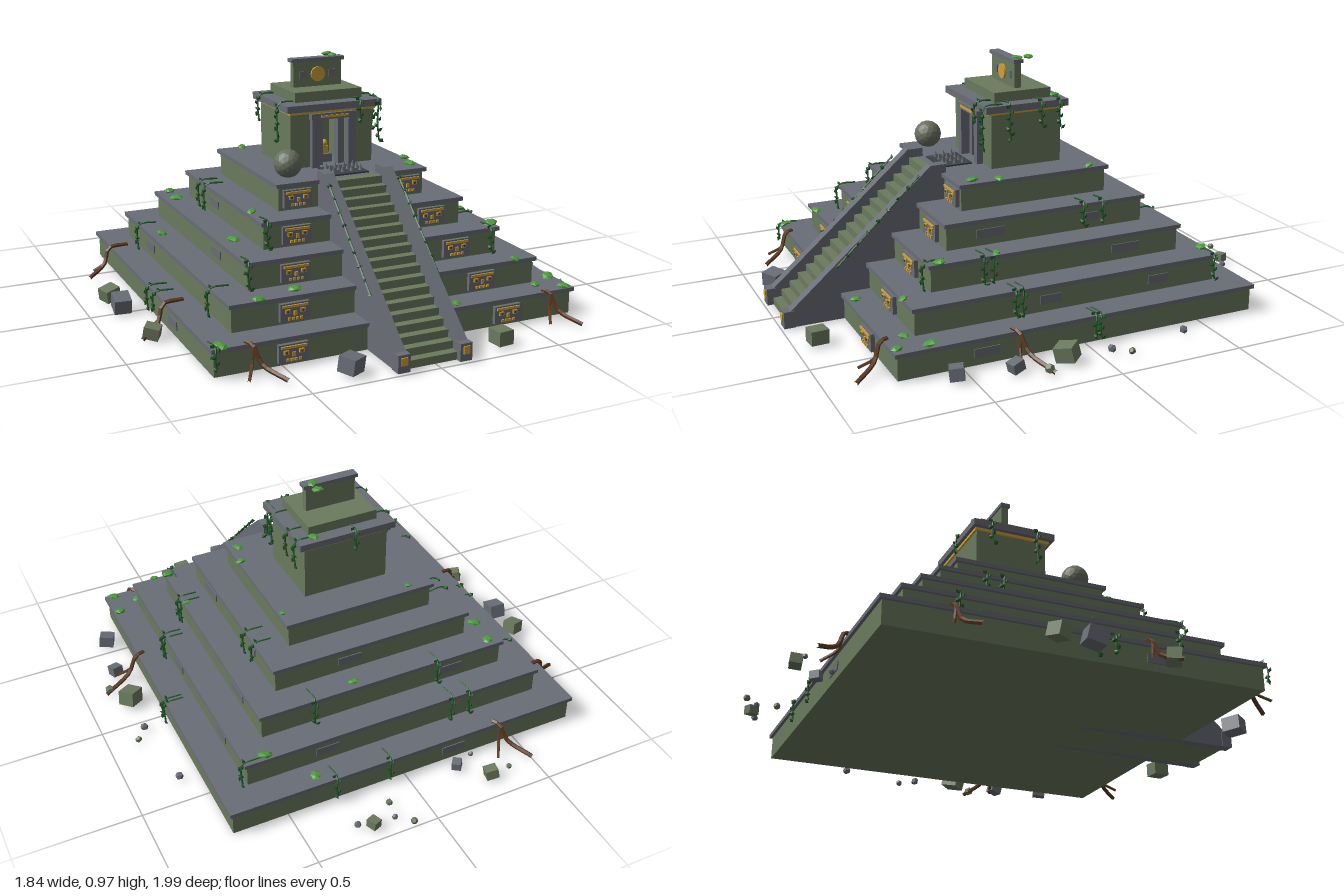
import * as THREE from 'three';

const mat = (name, color, extra = {}) => Object.assign(new THREE.MeshStandardMaterial({ color, ...extra }), { name });
const M = {
  moss: mat('mossy stone', 0x6b7a5e),
  grey: mat('grey stone', 0x696d76),
  dark: mat('dark stone', 0x3e4248),
  gold: mat('gold', 0xd0a034),
  boulder: mat('boulder stone', 0x69705f, { flatShading: true }),
  vine: mat('vine', 0x1f5a26, { flatShading: true, side: THREE.DoubleSide }),
  leaf: mat('bright leaf', 0x4c9a3a, { flatShading: true }),
  root: mat('root bark', 0x5f3b20, { flatShading: true }),
};
const CX = -0.0175, CZ = 0.005, STEP = 0.108;
const HALF = [0.755, 0.648, 0.54, 0.433, 0.325];

export function createModel() {
  const root = new THREE.Group();
  root.name = 'steppedTemple';
  const add = (name, geo, m, x = 0, y = 0, z = 0, parent = root) => {
    const mesh = new THREE.Mesh(geo, m);
    mesh.name = name;
    mesh.position.set(x, y, z);
    parent.add(mesh);
    return mesh;
  };
  // box given by its min and max corners
  const box = (name, m, x0, x1, y0, y1, z0, z1, parent = root) =>
    add(name, new THREE.BoxGeometry(x1 - x0, y1 - y0, z1 - z0), m, (x0 + x1) / 2, (y0 + y1) / 2, (z0 + z1) / 2, parent);
  // side profile (z, y) extruded from x0 to x1
  const profile = (name, m, pts, x0, x1) => {
    const geo = new THREE.ExtrudeGeometry(new THREE.Shape(pts.map(p => new THREE.Vector2(...p))), { depth: x1 - x0, bevelEnabled: false });
    return add(name, geo.rotateY(-Math.PI / 2), m, x1, 0, 0);
  };

  // five terraces, each with a projecting grey ledge
  HALF.forEach((h, i) => {
    const y = i * STEP, b = h - 0.012;
    box('terraceWall', M.moss, CX - b, CX + b, y, y + STEP - 0.016, CZ - b, CZ + b);
    box('terraceLedge', M.grey, CX - h, CX + h, y + STEP - 0.016, y + STEP, CZ - h, CZ + h);
  });

  // carved face panels either side of the stair
  HALF.forEach((h, i) => [-1, 1].forEach(s => {
    const panel = new THREE.Group();
    panel.name = 'facePanel';
    panel.position.set(CX + s * (0.448 - i * 0.0525), i * STEP + 0.046, CZ + h);
    root.add(panel);
    box('panelSlab', M.grey, -0.058, 0.058, -0.034, 0.036, -0.02, 0.004, panel);
    const plate = (x, y, w, t) => box('panelGold', M.gold, x - w / 2, x + w / 2, y - t / 2, y + t / 2, 0.003, 0.010, panel);
    plate(0, 0.026, 0.1, 0.009);
    [-1, 1].forEach(e => {
      plate(e * 0.03, 0.007, 0.019, 0.015);
      box('panelPupil', M.dark, e * 0.03 - 0.004, e * 0.03 + 0.004, 0.003, 0.011, 0.01, 0.012, panel);
    });
    plate(0, -0.002, 0.012, 0.016);
    for (let t = -1.5; t < 2; t++) plate(t * 0.016, -0.022, 0.01, 0.01);
  }));

  // grey blocks set into the side and back walls: side, tier, offset, width
  [[1, 3, 0.24, 0.12], [1, 1, -0.38, 0.09], [1, 2, -0.29, 0.12], [1, 1, 0.09, 0.09], [1, 0, 0.4, 0.1], [1, 3, -0.2, 0.06],
    [3, 0, 0.3, 0.1], [3, 1, -0.3, 0.1], [3, 2, 0.2, 0.1], [3, 3, -0.1, 0.1],
    [2, 0, -0.2, 0.1], [2, 1, 0.3, 0.1], [2, 2, -0.3, 0.1], [2, 3, 0.1, 0.1]].forEach(([side, i, o, w]) => {
    const g = new THREE.Group();
    g.name = 'wallBlock';
    g.position.set(CX, 0, CZ);
    g.rotation.y = side * Math.PI / 2;
    root.add(g);
    const c = o * [1, -1, -1, 1][side], y = i * STEP + 0.048, d = HALF[i] - 0.012;
    box('blockFace', M.grey, c - w / 2, c + w / 2, y - 0.017, y + 0.017, d - 0.002, d + 0.004, g);
  });

  // stair and its sloping side walls
  const N = 18, z0 = 0.965, run = 0.63 / N, steps = [[z0, 0]];
  for (let i = 0; i < N; i++) steps.push([z0 - i * run, (i + 1) * 0.03], [z0 - (i + 1) * run, (i + 1) * 0.03]);
  steps.push([0.30, 0.54], [0.30, 0]);
  profile('stair', M.moss, steps, -0.124, 0.089);
  for (const x of [-0.165, 0.087]) {
    profile('stairSideWall', M.grey, [[0.97, 0], [0.97, 0.06], [0.375, 0.575], [0.31, 0.575], [0.31, 0]], x, x + 0.041);
    box('stairPost', M.grey, x - 0.004, x + 0.045, 0, 0.068, 0.945, 0.99);
    box('postGold', M.gold, x + 0.008, x + 0.033, 0.028, 0.058, 0.988, 0.995);
  }

  // spike plate before the door
  box('spikePlate', M.dark, -0.098, 0.062, 0.535, 0.546, 0.17, 0.305);
  for (let i = 0; i < 4; i++) for (let j = 0; j < 3; j++)
    add('spike', new THREE.ConeGeometry(0.009, 0.028, 6), M.grey, -0.076 + i * 0.039, 0.559, 0.203 + j * 0.035);

  // shrine walls around an open chamber
  const yb = 0.54, yt = 0.765, L = CX - 0.18, R = CX + 0.18;
  box('shrineBackWall', M.moss, L, R, yb, yt, -0.175, -0.03);
  box('shrineLeftWall', M.moss, CX + 0.064, R, yb, yt, -0.03, 0.13);
  box('shrineRightWall', M.moss, L, CX - 0.064, yb, yt, -0.03, 0.13);
  box('shrineDoorHead', M.moss, CX - 0.064, CX + 0.064, 0.735, yt, -0.03, 0.13);
  for (const s of [-1, 1]) {
    const px = CX + s * 0.08, ix = CX + s * 0.047;
    box('doorPillar', M.grey, px - 0.016, px + 0.016, yb, 0.737, 0.12, 0.155);
    box('innerPillar', M.grey, ix - 0.013, ix + 0.013, yb, 0.735, 0.08, 0.12);
  }
  box('doorLintel', M.grey, CX - 0.1, CX + 0.1, 0.735, 0.76, 0.12, 0.158);
  box('lintelGold', M.gold, CX - 0.06, CX + 0.06, 0.743, 0.752, 0.156, 0.162);
  box('goldBand', M.gold, L - 0.008, R + 0.008, 0.76, 0.772, -0.183, 0.145);
  box('shrineCornice', M.grey, CX - 0.207, CX + 0.207, 0.772, 0.8, -0.197, 0.163);

  // small golden idol on a pedestal
  box('pedestal', M.grey, CX - 0.026, CX + 0.026, yb, 0.573, 0.03, 0.08);
  box('idolBody', M.gold, CX - 0.014, CX + 0.014, 0.573, 0.605, 0.045, 0.067);
  add('idolHead', new THREE.IcosahedronGeometry(0.015, 1), M.gold, CX, 0.616, 0.056);

  // roof step and upright roof crest
  box('roofStep', M.moss, CX - 0.148, CX + 0.148, 0.8, 0.84, -0.145, 0.102);
  box('roofCrest', M.moss, CX - 0.107, CX + 0.107, 0.84, 0.942, -0.034, -0.005);
  box('crestCap', M.grey, CX - 0.117, CX + 0.117, 0.942, 0.957, -0.04, 0.002);
  add('sunDisc', new THREE.CylinderGeometry(0.031, 0.031, 0.009, 12).rotateX(Math.PI / 2), M.gold, CX, 0.89, -0.001);
  for (const s of [-1, 1]) box('crestBlock', M.grey, CX + s * 0.065 - 0.015, CX + s * 0.065 + 0.015, 0.875, 0.905, -0.006, -0.001);

  // round boulder
  add('boulder', new THREE.IcosahedronGeometry(0.056, 2), M.boulder, -0.255, 0.594, 0.235);

  // hanging vines: side (0 front, 1 left, 2 back, 3 right), tier (5 = shrine), offset, length
  const leafGeo = new THREE.OctahedronGeometry(0.013).scale(1, 0.8, 0.45);
  const vine = (side, tier, o, len) => {
    const g = new THREE.Group();
    g.name = 'hangingVine';
    g.position.set(CX, 0, tier === 5 ? -0.017 : CZ);
    g.rotation.y = side * Math.PI / 2;
    root.add(g);
    const d = tier === 5 ? (side % 2 ? 0.207 : 0.18) : HALF[tier];
    const top = tier === 5 ? 0.8 : (tier + 1) * STEP, x = o * [1, -1, -1, 1][side];
    const pts = [[0, 0.003, -0.075], [0.004, 0.006, -0.01], [0, -0.005, 0.006], [-0.005, -len / 2, 0.009], [0.003, -len, 0.007]]
      .map(p => new THREE.Vector3(x + p[0], top + p[1], d + p[2]));
    const curve = new THREE.CatmullRomCurve3(pts);
    add('vineStem', new THREE.TubeGeometry(curve, 10, 0.0035, 4), M.vine, 0, 0, 0, g);
    const n = Math.round(3 + len * 28);
    for (let k = 0; k < n; k++) {
      const p = curve.getPointAt(0.38 + 0.62 * k / (n - 1));
      add('vineLeaf', leafGeo, M.vine, p.x + (k % 2 ? 0.009 : -0.009), p.y, p.z + 0.003, g).rotation.set(0.4, k * 1.3, k % 2 ? 0.6 : -0.6);
    }
  };
  [[3, 0, 0.04, 0.09], [3, 0, 0.12, 0.07], [3, 1, -0.43, 0.1], [3, 1, 0.45, 0.1], [3, 3, -0.24, 0.1], [3, 3, -0.17, 0.12],
    [1, 0, -0.04, 0.08], [1, 0, -0.06, 0.09], [1, 1, 0.21, 0.12], [1, 1, 0.24, 0.1], [1, 2, 0.32, 0.11], [1, 2, 0.28, 0.14],
    [1, 3, -0.24, 0.08], [1, 3, -0.155, 0.09], [1, 1, -0.63, 0.1],
    [2, 0, 0.09, 0.08], [2, 0, 0.32, 0.08], [2, 1, -0.32, 0.1], [2, 1, -0.24, 0.12], [2, 2, -0.23, 0.1], [2, 2, 0.31, 0.13],
    [0, 0, -0.74, 0.07], [0, 2, -0.53, 0.1], [0, 2, 0.5, 0.1], [0, 3, -0.41, 0.1],
    [1, 5, 0.08, 0.14], [1, 5, -0.06, 0.1], [1, 5, -0.14, 0.11], [3, 5, 0.1, 0.15], [3, 5, -0.1, 0.1],
    [0, 5, 0.19, 0.17], [0, 5, 0.11, 0.08], [2, 5, -0.03, 0.07]].forEach(v => vine(...v));

  // creepers along the outer faces of the stair walls
  for (const x of [-0.168, 0.131]) {
    const line = new THREE.LineCurve3(new THREE.Vector3(x, 0.54, 0.43), new THREE.Vector3(x, 0.22, 0.77));
    add('stairCreeper', new THREE.TubeGeometry(line, 1, 0.004, 4), M.vine);
    for (let k = 0; k < 9; k++) {
      const p = line.getPoint(k / 8);
      add('creeperLeaf', leafGeo, M.vine, p.x, p.y, p.z).rotation.set(k, k * 2, 0);
    }
  }

  // leaf clumps lying on the ledges (x, z), height found from the terraces
  const clump = new THREE.IcosahedronGeometry(0.026, 0).scale(1, 0.35, 0.8);
  const heightAt = (x, z) => STEP * HALF.filter(h => Math.max(Math.abs(x - CX), Math.abs(z - CZ)) < h).length;
  [[-0.74, 0.73], [-0.73, 0.75], [-0.55, 0.65], [-0.5, 0.27], [-0.43, 0.29], [-0.62, -0.25], [-0.5, -0.5], [-0.51, -0.38], [-0.24, -0.29],
    [0.11, -0.5], [0.37, -0.7], [0.54, -0.62], [0.29, -0.24], [0.3, 0.16], [0.27, 0.26], [0.51, 0.5], [0.53, 0.65], [0.61, 0.68],
    [0.7, 0.74], [0.71, 0.62], [0.51, 0.27], [0.22, 0.73], [-0.39, 0.6]].forEach(([x, z], i) => {
    const c = add('leafClump', clump, M.leaf, x, heightAt(x, z) + 0.006, z);
    c.rotation.set(0.2, i * 1.7, 0.15);
    c.scale.setScalar(0.8 + (i % 4) * 0.13);
  });
  [[0.06, 0.958, -0.08], [0.12, 0.806, -0.165], [0.06, 0.958, -0.03]].forEach((p, i) =>
    add('roofLeaf', clump, M.leaf, ...p).rotation.y = i * 2);

  // roots spilling over the lowest ledge: ledge point then outward end
  [[-0.4, -0.73, -0.5, -0.88], [-0.7, -0.5, -0.89, -0.43], [-0.7, 0.25, -0.89, 0.33], [-0.64, 0.74, -0.54, 0.89],
    [0.6, 0.74, 0.69, 0.89], [0.71, 0.3, 0.91, 0.22]].forEach(([x, z, ex, ez]) => {
    const along = Math.abs(x - CX) > Math.abs(z - CZ);
    const out = (v, c) => c + Math.sign(v - c) * 0.768;
    const kx = along ? out(x, CX) : x + (ex - x) * 0.15, kz = along ? z + (ez - z) * 0.15 : out(z, CZ);
    const path = (a, b) => new THREE.CatmullRomCurve3([[x, 0.112, z], [kx, 0.108, kz], [kx + (a - kx) * 0.25, 0.045, kz + (b - kz) * 0.25], [a, 0.006, b]]
      .map(p => new THREE.Vector3(...p)));
    add('root', new THREE.TubeGeometry(path(ex, ez), 10, 0.009, 5), M.root);
    const fx = along ? kx + (ex - kx) * 0.6 : kx - (ex - kx) * 0.5, fz = along ? kz - (ez - kz) * 0.5 : kz + (ez - kz) * 0.6;
    add('rootFork', new THREE.TubeGeometry(path(fx, fz), 10, 0.006, 5), M.root);
  });

  // fallen blocks and pebbles: x, z, size
  [[-0.88, -0.15, 0.065], [-0.87, -0.01, 0.075], [-0.845, 0.315, 0.06], [-0.31, 0.91, 0.075], [0.305, 0.91, 0.07], [0.8, 0.555, 0.06],
    [0.83, 0.135, 0.075], [0.83, 0.34, 0.05], [-0.295, -0.9, 0.05], [-0.2, -0.8, 0.04], [0.24, -0.935, 0.042], [0.805, -0.38, 0.03],
    [0.095, -0.985, 0.025], [0.15, -0.935, 0.022], [0.135, -0.86, 0.025], [0.295, -0.91, 0.025], [0.88, -0.11, 0.025],
    [0.835, -0.05, 0.03], [-0.385, -0.89, 0.02], [-0.285, -0.765, 0.02], [0.89, 0.235, 0.035]].forEach(([x, z, s], i) => {
    const geo = s > 0.035 ? new THREE.BoxGeometry(s, s * 0.8, s * 0.9) : new THREE.DodecahedronGeometry(s * 0.55);
    add('fallenBlock', geo, i % 2 ? M.grey : M.moss, x, s * 0.48, z).rotation.set(0.12, i * 1.1 + 0.4, 0.14);
  });
  return root;
}
